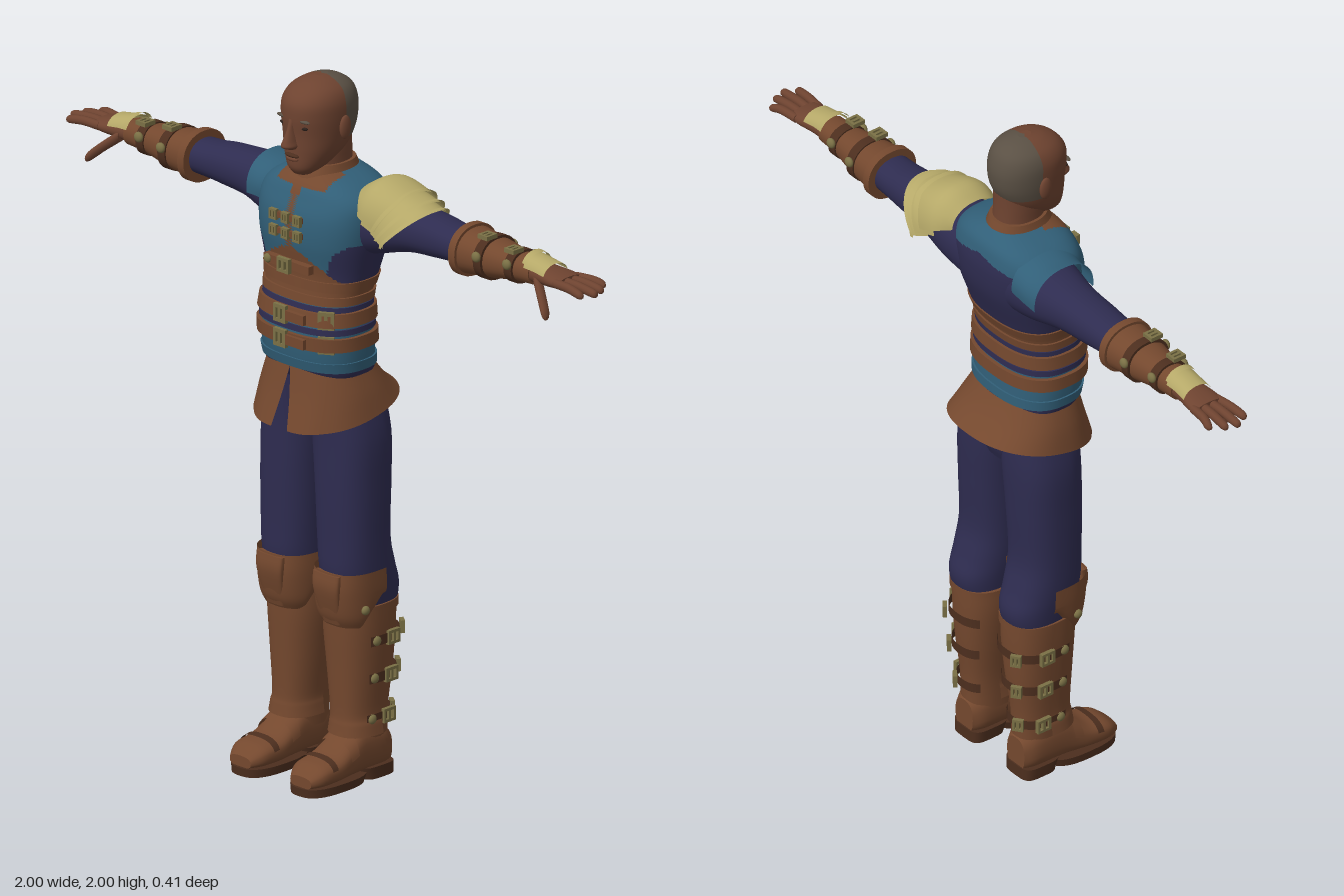
import * as THREE from 'three';

const paintOf = (name, color) => new THREE.MeshStandardMaterial({ name, color, side: THREE.DoubleSide });

// Blend along the rows of a section table; s runs from 0 to 1.
function sample(secs, s, smooth = true) {
  const f = s * (secs.length - 1), i = Math.min(Math.floor(f), secs.length - 2), t = f - i;
  const at = (j) => secs[Math.max(0, Math.min(secs.length - 1, j))];
  return at(i).map((b, c) => {
    const a = at(i - 1)[c], d = at(i + 1)[c], e = at(i + 2)[c];
    if (!smooth) return b + (d - b) * t;
    const m0 = (d - a) / 2, m1 = (e - b) / 2;
    return b + m0 * t + (3 * (d - b) - 2 * m0 - m1) * t * t + (2 * (b - d) + m0 + m1) * t * t * t;
  });
}

// Row of a table at a given position along its axis.
function rowAt(secs, t) {
  const up = secs[secs.length - 1][0] > secs[0][0];
  let lo = 0, hi = 1;
  for (let n = 0; n < 30; n++) {
    const m = (lo + hi) / 2;
    if ((sample(secs, m)[0] < t) === up) lo = m; else hi = m;
  }
  return [t, ...sample(secs, lo).slice(1)];
}

// Skin over sections [t, uMin, uMax, vMin, vMax]. Axis y: u=x v=z; x: u=y v=z; z: u=x v=y.
function loft(axis, secs, { segs = 32, k = 5, p = 2.2, arc = null, smooth = true, bend = null } = {}) {
  const pos = [], idx = [], rings = (secs.length - 1) * k, row = segs + 1;
  const put = (t, u, v) => {
    const q = axis === 'y' ? [u, t, v] : axis === 'x' ? [t, u, v] : [u, v, t];
    pos.push(...(bend ? bend(...q) : q));
  };
  const [a0, a1] = arc || [0, Math.PI * 2], cols = arc ? row : segs;
  const ring = (r) => {
    const [t, u0, u1, v0, v1] = sample(secs, r / rings, smooth);
    for (let j = 0; j < cols; j++) {
      const a = a0 + (a1 - a0) * j / segs, c = Math.cos(a), s = Math.sin(a);
      put(t, (u0 + u1) / 2 + (u1 - u0) / 2 * Math.sign(c) * Math.abs(c) ** (2 / p),
        (v0 + v1) / 2 + (v1 - v0) / 2 * Math.sign(s) * Math.abs(s) ** (2 / p));
    }
    return [t, (u0 + u1) / 2, (v0 + v1) / 2];
  };
  const flip = (axis === 'y') !== (secs[secs.length - 1][0] < secs[0][0]);
  const tri = (a, b, c) => flip ? idx.push(a, c, b) : idx.push(a, b, c);
  for (let r = 0; r <= rings; r++) ring(r);
  for (let r = 0; r < rings; r++) for (let j = 0; j < segs; j++) {
    const n = (j + 1) % cols, a = r * cols + j, b = r * cols + n, c = a + cols, d = b + cols;
    tri(a, b, d); tri(a, d, c);
  }
  if (!arc) for (const r of [0, rings]) {
    const start = pos.length / 3, centre = ring(r);
    put(...centre);
    for (let j = 0; j < segs; j++) {
      const a = start + j, b = start + (j + 1) % segs;
      if (r) tri(a, b, start + segs); else tri(b, a, start + segs);
    }
  }
  const g = new THREE.BufferGeometry();
  g.setAttribute('position', new THREE.Float32BufferAttribute(pos, 3));
  g.setIndex(idx);
  g.computeVertexNormals();
  return g;
}

// Sort faces into material groups by the position of their middle.
function paintFaces(g, count, pick) {
  const P = g.attributes.position, I = g.index.array, sets = Array.from({ length: count }, () => []);
  for (let i = 0; i < I.length; i += 3) {
    const mid = ['getX', 'getY', 'getZ'].map((f) => (P[f](I[i]) + P[f](I[i + 1]) + P[f](I[i + 2])) / 3);
    sets[pick(...mid)].push(I[i], I[i + 1], I[i + 2]);
  }
  g.setIndex(sets.flat());
  let start = 0;
  sets.forEach((s, m) => { g.addGroup(start, s.length, m); start += s.length; });
  return g;
}

function mirror(g) {
  const m = g.clone().scale(-1, 1, 1);
  const I = m.index ? Array.from(m.index.array) : Array.from({ length: m.attributes.position.count }, (_, i) => i);
  for (let i = 0; i < I.length; i += 3) [I[i], I[i + 1]] = [I[i + 1], I[i]];
  m.setIndex(I);
  return m;
}

// Two-windowed buckle frame facing +z.
function buckle(w, h) {
  const box = (P, x0, x1, y) => new P().moveTo(x0, -y).lineTo(x1, -y).lineTo(x1, y).lineTo(x0, y).closePath();
  const s = box(THREE.Shape, -w / 2, w / 2, h / 2), e = h * 0.2;
  s.holes.push(box(THREE.Path, -w / 2 + e, -e / 2, h / 2 - e), box(THREE.Path, e / 2, w / 2 - e, h / 2 - e));
  return new THREE.ExtrudeGeometry(s, { depth: 0.012, bevelEnabled: false });
}
const ball = (x, y, z, a, b, c) => new THREE.SphereGeometry(1, 16, 12).scale(a, b, c).translate(x, y, z);
const block = (x, y, z, a, b, c) => new THREE.BoxGeometry(a, b, c).translate(x, y, z);
const grow = ([t, a, b, c, d], e) => [t, a - e, b + e, c - e, d + e];

export function createModel() {
  const model = new THREE.Group();
  const skin = paintOf('skin', 0x6e4330), leather = paintOf('leather', 0x74482e), navy = paintOf('navy cloth', 0x2e2c50);
  const teal = paintOf('teal cloth', 0x315f78), gold = paintOf('pale gold', 0xb5a868), brass = paintOf('dull brass', 0x7a7045);
  const hair = paintOf('cropped hair', 0x5a5044), dark = paintOf('dark leather', 0x4c2e1e), ink = paintOf('eye dark', 0x2c211c);
  const add = (name, geo, mat) => { const m = new THREE.Mesh(geo, mat); m.name = name; model.add(m); };
  const pair = (name, geo, mat) => { add('left ' + name, geo, mat); add('right ' + name, mirror(geo), mat); };
  const wide = (rows) => rows.map(([y, x, z0, z1]) => [y, -x, x, z0, z1]);

  // Torso with jacket, yoke and corset colours
  const torso = wide([[1.15, .15, -.105, .1], [1.2, .163, -.105, .125], [1.3, .165, -.1, .135], [1.39, .16, -.097, .12],
    [1.46, .17, -.12, .115], [1.55, .187, -.15, .128], [1.62, .193, -.158, .125], [1.67, .185, -.152, .108],
    [1.705, .145, -.14, .09], [1.735, .075, -.11, .06]]);
  add('jacket', paintFaces(loft('y', torso, { segs: 112, k: 10, p: 2.5 }), 3, (x, y, z) => {
    const ax = Math.abs(x);
    if (y < 1.195) return 0;
    if (y < 1.39) return 1;
    if (y < 1.435 + (z > 0 ? Math.max(0, 0.1 * (1 - (ax / .16) ** 1.5)) : 0)) return 2;
    if (z > 0 && (ax < .012 || (y > 1.7 && ax < .09))) return 2;
    if (y > 1.67 - .03 * Math.min(1, ax / .15)) return 1;
    return z > .025 && Math.hypot((ax - .19) / .075, (y - 1.46) / .1) > 1 ? 1 : 0;
  }), [navy, teal, leather]);
  const band = (name, y, h, e, mat) => add(name, loft('y', [y - h, y + h].map((t) => grow(rowAt(torso, t), e)),
    { segs: 64, k: 1, p: 2.5, smooth: false }), mat);
  band('corset lower edge', 1.395, .012, .006, leather);
  band('corset strap', 1.435, .014, .005, leather);
  band('waist piping', 1.31, .008, .005, navy);
  band('upper waist piping', 1.372, .007, .004, navy);
  band('jacket hem', 1.205, .014, .005, teal);
  for (const y of [1.345, 1.275]) {
    band('belt', y, .019, .011, leather);
    for (const x of [-.01, .12]) add('belt buckle', buckle(.045, .05).rotateY(x > .1 ? .55 : 0)
      .translate(x, y, x > .1 ? .102 : .143), brass);
    add('belt tongue', block(.045, y, .148, .07, .028, .012), leather);
  }
  // Chest fastenings
  for (const y of [1.62, 1.575]) {
    add('chest strap', block(0, y, .133, .11, .016, .012), leather);
    for (const x of [-.045, 0, .045]) add('chest clasp', buckle(.026, .03).translate(x, y, .134), brass);
  }
  add('corset tab', block(0, 1.485, .128, .17, .024, .02), leather);
  add('corset buckle', buckle(.045, .042).translate(0, 1.485, .14), brass);
  add('corset stud', ball(-.07, 1.485, .138, .013, .013, .008), brass);
  add('collar', loft('y', wide([[1.695, .1, -.125, .088], [1.725, .08, -.115, .075], [1.755, .07, -.102, .06]]), {}), leather);

  // Flared skirt, split at the front, with a hem that rises to the back
  const hem = loft('y', [[1, -.195, .195, -.2, .165], [.5, -.178, .178, -.15, .14], [0, -.152, .152, -.11, .122]],
    { segs: 64, k: 5, arc: [Math.PI / 2, Math.PI * 2.5 - 1e-4], p: 2.3 });
  const H = hem.attributes.position;
  for (let i = 0; i < H.count; i++) {
    const v = H.getY(i), x = H.getX(i), z = H.getZ(i), side = (i % 65) < 32 ? -1 : 1;
    const open = z > 0 ? Math.max(0, 1 - Math.abs(x) / .13) * .03 * v : 0;
    H.setXYZ(i, x + side * open, 1.19 - v * (.135 + .22 * z), z);
  }
  hem.computeVertexNormals();
  add('skirt', hem, leather);
  add('hips', loft('y', wide([[.98, .11, -.1, .07], [1.05, .155, -.12, .085], [1.19, .15, -.105, .1]]), {}), navy);

  // Trousers
  pair('trouser leg', loft('y', [[.45, .035, .18, -.12, .04], [.5, .03, .188, -.142, .05], [.55, .025, .193, -.148, .065],
    [.61, .02, .197, -.13, .08], [.7, .016, .198, -.11, .082], [.85, .008, .199, -.115, .085], [1, -.005, .195, -.12, .085],
    [1.14, -.01, .16, -.112, .09]], { p: 2.4 }), navy);

  // Boots with greaves, knee guards and side straps
  const shaft = [[.1, .052, .168, -.115, .045], [.2, .05, .17, -.118, .045], [.32, .036, .18, -.132, .05],
    [.43, .024, .188, -.139, .056], [.505, .024, .19, -.14, .058]];
  pair('boot shaft', loft('y', shaft, { p: 2.4 }), leather);
  pair('boot cuff', loft('y', [[.485, ...shaft[4].slice(1)], [.51, ...shaft[4].slice(1)]].map((r) => grow(r, .005)),
    { k: 1, smooth: false, p: 2.4 }), leather);
  const front = [-.12, Math.PI + .12];
  pair('greave', loft('y', [[.135, .038, .187, -.125, .058], [.165, .042, .182, -.122, .054], ...shaft.slice(1).map((r) => grow(r, .006))],
    { p: 2.4, arc: front }), leather);
  const trim = (x, y, z) => [x, y < .56 ? y + (.56 - y) * .8 * Math.min(1, Math.max(0, (.03 - z) / .07)) : y, z];
  pair('knee guard', loft('y', [[.455, .03, .187, -.12, .068], [.49, .02, .196, -.125, .085], [.56, .016, .2, -.13, .096],
    [.615, .018, .2, -.125, .094]], { p: 2.6, arc: [-.2, Math.PI + .2], bend: trim }), leather);
  pair('knee panel', loft('y', [[.462, .075, .14, .05, .075], [.56, .06, .155, .07, .102], [.61, .058, .157, .07, .099]],
    { p: 4 }), leather);
  pair('knee stud', ball(.196, .51, .03, .01, .013, .013), brass);
  for (const y of [.41, .3, .18]) {
    const r = rowAt(shaft, y);
    pair('boot strap', loft('y', [y - .014, y + .014].map((t) => grow([t, ...r.slice(1)], .01)),
      { k: 1, smooth: false, p: 2.4, arc: [Math.PI * 1.25, Math.PI * 2.12] }), dark);
    pair('boot buckle', buckle(.045, .04).rotateY(Math.PI / 2).translate(r[2] + .004, y, -.075), brass);
    pair('strap stud', ball(r[2] + .008, y, -.015, .009, .014, .014), brass);
    pair('back buckle', buckle(.03, .036).rotateY(Math.PI * .8).translate(r[2] - .035, y, r[3] - .008), brass);
  }
  // Feet
  pair('boot foot', loft('z', [[-.118, .075, .15, .02, .12], [-.08, .056, .168, .02, .15], [0, .052, .172, .02, .16],
    [.05, .05, .174, .02, .125], [.1, .047, .178, .02, .095], [.16, .052, .176, .02, .082], [.197, .075, .155, .022, .055]],
    { p: 2.6 }), leather);
  pair('instep strap', loft('z', [[.035, .045, .18, .0, .143], [.065, .044, .181, .0, .124]],
    { k: 1, smooth: false, p: 2.6, arc: [.15, Math.PI - .15] }), leather);
  pair('toe cap edge', loft('z', [[.115, .043, .181, .0, .098], [.135, .043, .181, .0, .094]],
    { k: 1, smooth: false, p: 2.6, arc: [.3, Math.PI - .3] }), dark);
  pair('sole', loft('y', [[0, .047, .178, -.02, .204], [.024, .045, .18, -.03, .206]], { k: 1, smooth: false, p: 2.7 }), dark);
  pair('heel', loft('y', [[0, .058, .168, -.122, -.012], [.035, .055, .17, -.122, 0]], { k: 1, smooth: false, p: 4 }), dark);

  // Arms, bracers and hands
  pair('sleeve', loft('x', [[.1, 1.5, 1.69, -.145, .06], [.19, 1.52, 1.692, -.145, .04], [.3, 1.55, 1.683, -.132, .012],
    [.4, 1.56, 1.676, -.125, .005], [.46, 1.565, 1.668, -.12, .003], [.54, 1.568, 1.665, -.115, .002]], {}), navy);
  const cuff = [[.505, 1.545, 1.682, -.135, .02], [.54, 1.55, 1.677, -.13, .014], [.62, 1.56, 1.667, -.12, .004],
    [.7, 1.573, 1.656, -.106, -.01], [.77, 1.578, 1.652, -.102, -.014]];
  pair('bracer', loft('x', cuff, {}), leather);
  for (const x of [.515, .6, .7]) {
    const r = rowAt(cuff, x), w = x < .52 ? .012 : .014;
    pair('bracer strap', loft('x', [x - w, x + w].map((t) => grow([t, ...r.slice(1)], .006)), { k: 1, smooth: false }), x < .52 ? leather : dark);
    if (x < .52) continue;
    pair('bracer buckle', buckle(.036, .04).rotateX(-Math.PI / 2).translate(x, r[2] + .004, -.03), brass);
    for (const z of [r[3] - .007, r[4] + .007]) pair('bracer stud', ball(x, 1.63, z, .015, .015, .01), brass);
  }
  pair('palm', loft('x', [[.74, 1.583, 1.648, -.097, -.018], [.8, 1.588, 1.642, -.1, -.015], [.85, 1.592, 1.636, -.109, -.01],
    [.885, 1.598, 1.63, -.108, -.012]], {}), skin);
  const finger = (name, pts, r) => pair(name, loft('x', pts.map(([x, y, z], i) => {
    const q = r * [1, 1, .9, .3][i];
    return [x, y - q, y + q, z - q, z + q];
  }), { segs: 12, k: 4 }), skin);
  [[.962, -.1, -.115], [.988, -.075, -.081], [.998, -.048, -.047], [.98, -.022, -.012]].forEach(([tip, z0, z1]) =>
    finger('finger', [[.865, 1.614, z0], [.92, 1.616, (z0 + z1) / 2], [tip - .012, 1.61, z1], [tip, 1.607, z1]], .0125));
  finger('thumb', [[.79, 1.605, -.03], [.83, 1.572, -.005], [.866, 1.538, .016], [.876, 1.528, .02]], .0165);
  pair('hand plate', loft('x', [[.755, 1.57, 1.664, -.108, -.008], [.79, 1.57, 1.66, -.106, -.01], [.83, 1.57, 1.652, -.108, -.01]],
    { arc: [-1.25, 1.25] }), gold);
  pair('hand plate ridge', loft('x', [[.75, 1.57, 1.672, -.11, -.006], [.768, 1.57, 1.668, -.11, -.006]],
    { arc: [-1.1, 1.1], k: 1, smooth: false }), gold);

  // Right shoulder cap and layered left pauldron
  add('shoulder cap', mirror(loft('x', [[.13, 1.54, 1.708, -.146, .075], [.19, 1.54, 1.7, -.15, .055], [.238, 1.53, 1.71, -.152, .05]],
    { arc: [-1.7, 1.7] })), teal);
  const point = (x, y, z) => [.15 + (x - .15) * (.65 + .55 * Math.min(1, Math.max(0, (y - 1.59) / .11))), y, z];
  [[[.15, 1.58, 1.715, -.13, .03], [.2, 1.52, 1.743, -.163, .052], [.275, 1.5, 1.717, -.168, .052]],
    [[.2, 1.5, 1.728, -.16, .045], [.26, 1.49, 1.714, -.165, .048], [.315, 1.48, 1.697, -.17, .054]],
    [[.25, 1.48, 1.71, -.155, .04], [.3, 1.47, 1.696, -.16, .045], [.352, 1.46, 1.68, -.166, .052]]].forEach((s, i) => {
    add('pauldron plate', loft('x', s, { arc: [-1.5, 1.5], bend: point }), gold);
    const e = s[2];
    add('pauldron rim', loft('x', [grow([e[0] - .016, ...e.slice(1)], .004), grow(e, .006)],
      { arc: [-1.5, 1.5], bend: point, k: 1 }), gold);
  });

  // Neck and head
  add('neck', loft('y', wide([[1.68, .07, -.1, .045], [1.74, .062, -.093, .05], [1.8, .062, -.09, .055], [1.85, .06, -.09, .05]]), {}), skin);
  add('head', paintFaces(loft('y', wide([[1.735, .026, .05, .098], [1.757, .05, -.005, .112], [1.8, .073, -.065, .115],
    [1.85, .084, -.096, .117], [1.9, .089, -.105, .122], [1.94, .087, -.1, .118], [1.97, .073, -.085, .095],
    [1.99, .045, -.055, .058], [1.999, .014, -.02, .02]]), { segs: 64, k: 8 }), 2,
  (x, y, z) => (z < -.005 && y > 1.83 ? 1 : 0)), [skin, hair]);
  add('nose', loft('y', wide([[1.812, .012, .09, .126], [1.822, .02, .09, .15], [1.838, .016, .09, .147], [1.87, .01, .09, .132],
    [1.9, .012, .09, .122]]), { segs: 16 }), skin);
  add('upper lip', ball(0, 1.793, .115, .026, .006, .009), dark);
  add('lower lip', ball(0, 1.783, .114, .022, .007, .009), skin);
  pair('eye', ball(.037, 1.877, .107, .015, .006, .006), ink);
  pair('brow', ball(.038, 1.897, .109, .024, .005, .008), hair);
  pair('ear', ball(.091, 1.868, .002, .01, .034, .02), skin);
  return model;
}
